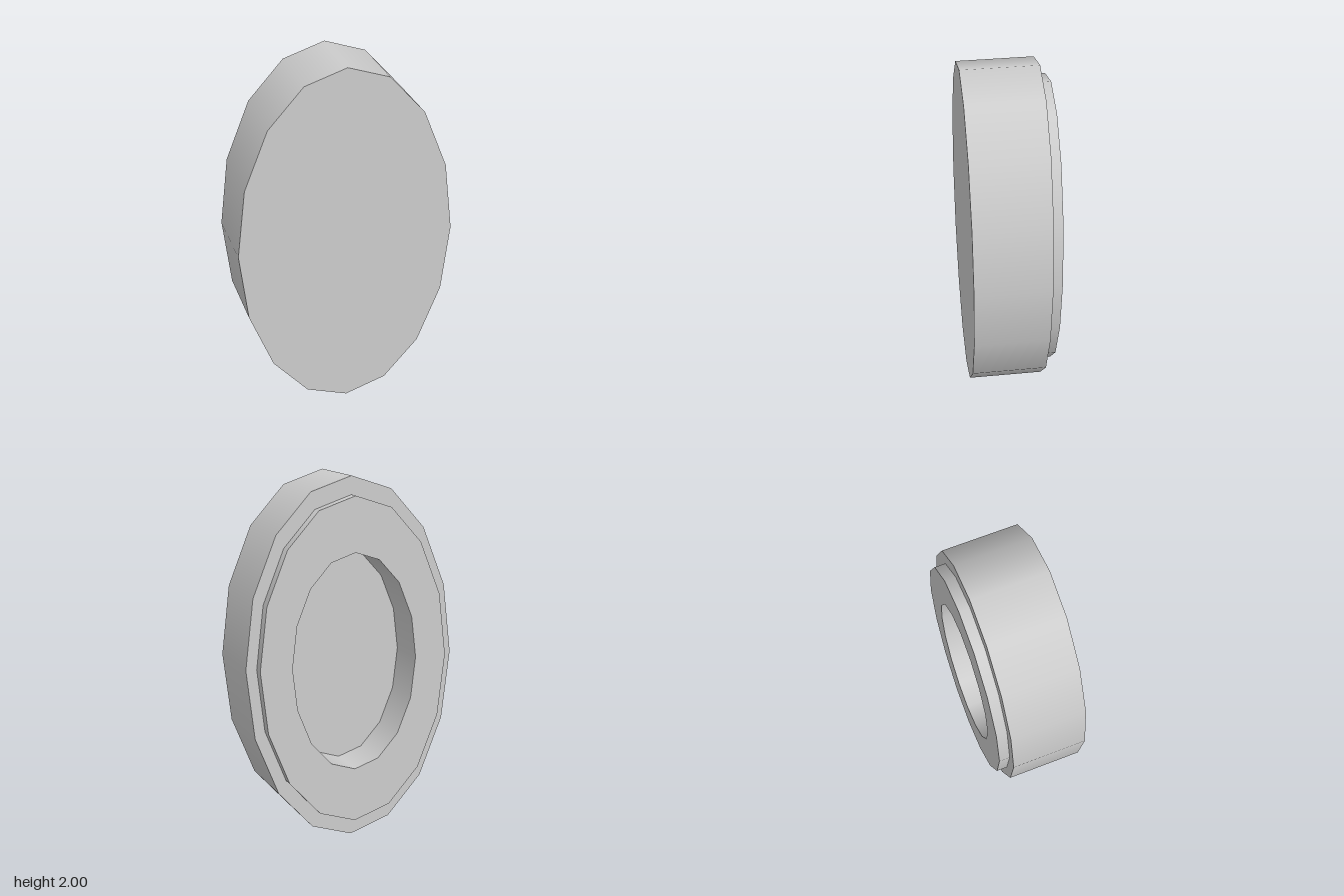
import * as THREE from 'three';

const SIDES = 16;
const WIDTH_RATIO = 0.6; // oval: half as wide as 0.6 of its half height

export function createModel() {
  const model = new THREE.Group();
  model.name = 'ovalDisc';
  const grey = new THREE.MeshStandardMaterial({ color: 0xcccccc });
  grey.name = 'grey';

  // Profile from the recess centre, round the back rim, to the front centre: [radius, z]
  const profile = [
    [0, 0], [0.6, 0], [0.6, -0.237], [0.9, -0.237],
    [0.9, -0.178], [1, -0.178], [1, 0.237], [0, 0.237],
  ];
  const names = [
    'recessFloor', 'recessWall', 'rimFace', 'rimWall',
    'backStep', 'bodyWall', 'frontFace',
  ];

  // Each profile segment is its own surface, so edges between them stay sharp
  names.forEach((name, i) => {
    const points = [profile[i], profile[i + 1]].map(([r, z]) => new THREE.Vector2(r, z));
    const geometry = new THREE.LatheGeometry(points, SIDES);
    geometry.rotateX(Math.PI / 2);
    geometry.scale(WIDTH_RATIO, 1, 1);
    geometry.translate(0, 1, 0);
    const mesh = new THREE.Mesh(geometry, grey);
    mesh.name = name;
    model.add(mesh);
  });

  return model;
}
